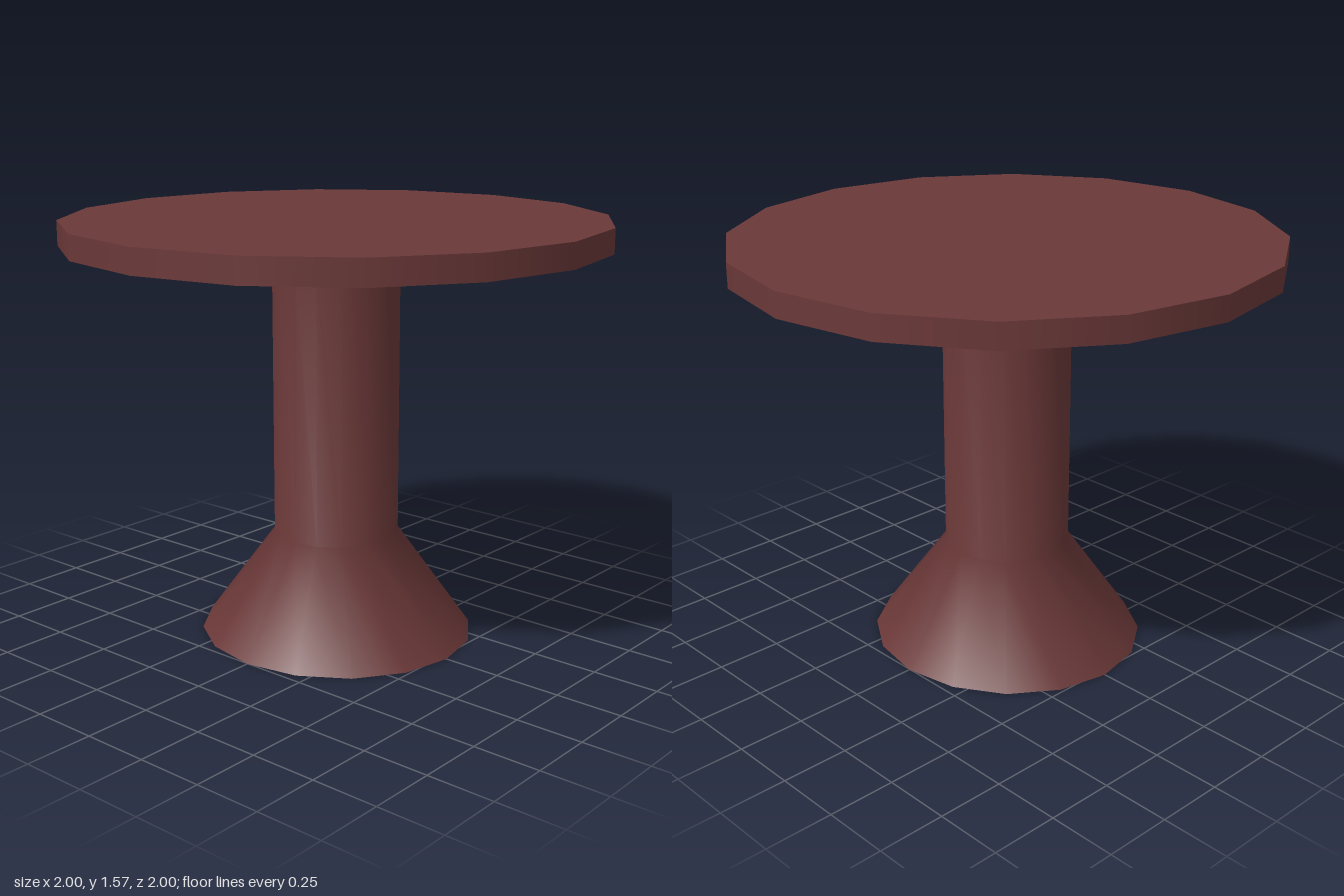
import * as THREE from 'three';

const SIDES = 16;
const TOP_Y = 1.572, UNDER_Y = 1.481, FLARE_Y = 0.393;
const BASE_X = 0.527, BASE_Z = 0.503, COLUMN_R = 0.235;

export function createModel() {
  const group = new THREE.Group();
  group.name = 'pedestalTable';
  const material = new THREE.MeshStandardMaterial({ color: 0x6b3838 });

  const add = (name, geometry) => {
    const mesh = new THREE.Mesh(geometry, material);
    mesh.name = name;
    group.add(mesh);
    return mesh;
  };

  // Sixteen-sided table top with a smooth-shaded rim
  const thickness = TOP_Y - UNDER_Y;
  add('tableTop', new THREE.CylinderGeometry(1, 1, thickness, SIDES))
    .position.y = UNDER_Y + thickness / 2;

  // Column flaring into the foot, shaded smoothly across the bend
  const profile = [[BASE_X, 0], [COLUMN_R, FLARE_Y], [COLUMN_R, UNDER_Y]]
    .map(([r, y]) => new THREE.Vector2(r, y));
  const pedestal = new THREE.LatheGeometry(profile, SIDES);

  // The foot's lowest ring is slightly narrower front to back
  const pos = pedestal.attributes.position;
  for (let i = 0; i < pos.count; i++) {
    if (pos.getY(i) < 0.01) pos.setZ(i, pos.getZ(i) * BASE_Z / BASE_X);
  }
  add('pedestal', pedestal);

  // Flat underside closing the foot
  const underside = new THREE.CircleGeometry(1, SIDES);
  underside.scale(BASE_X, BASE_Z, 1);
  underside.rotateX(Math.PI / 2);
  add('footUnderside', underside);

  return group;
}
